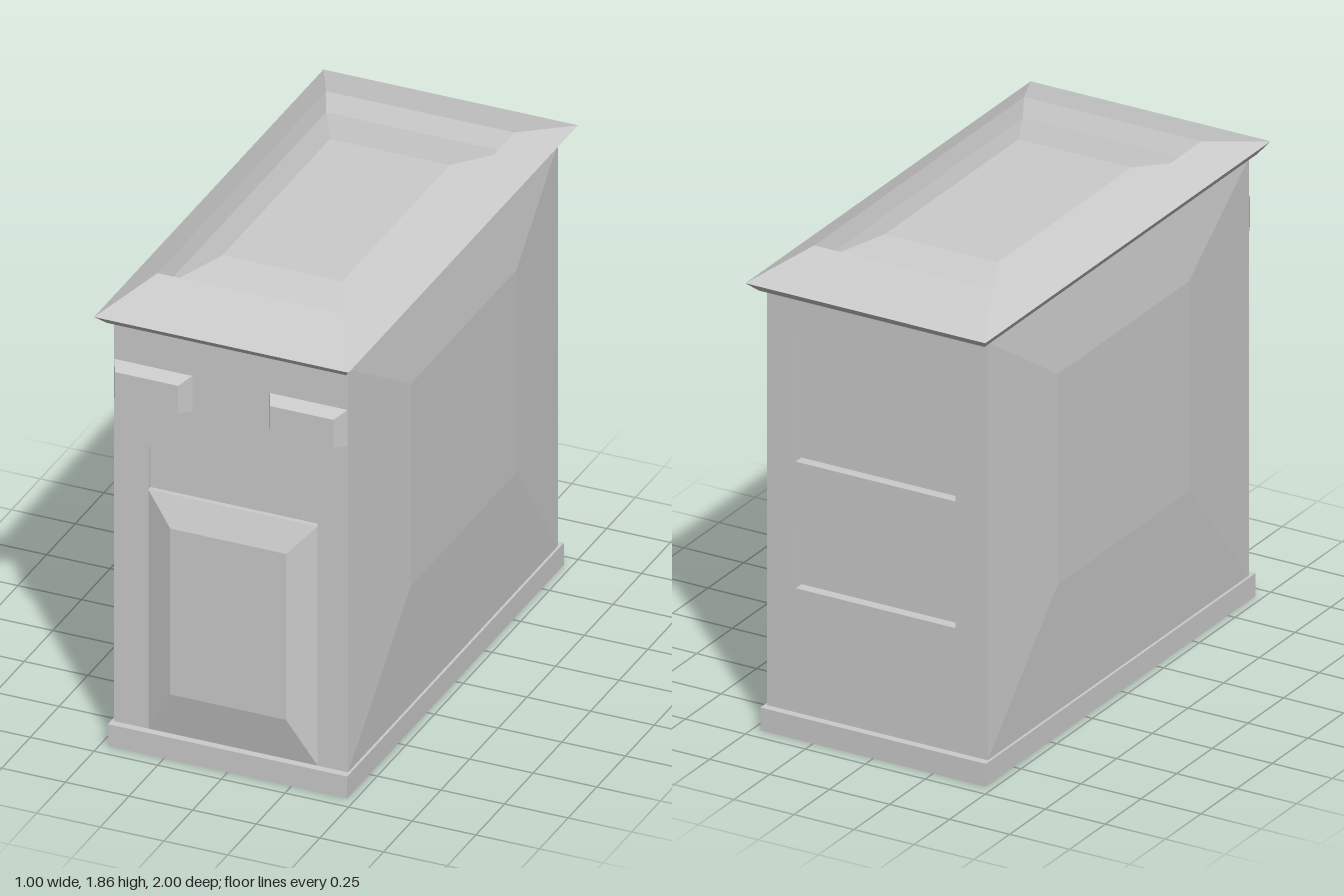
import * as THREE from 'three';

const material = new THREE.MeshStandardMaterial({ color: 0xcccccc, flatShading: true });

function add(parent, name, geometry) {
  const mesh = new THREE.Mesh(geometry, material);
  mesh.name = name;
  parent.add(mesh);
  return mesh;
}

function box(w, h, d, x, y, z) {
  return new THREE.BoxGeometry(w, h, d).translate(x, y, z);
}

// Solid lofted along +z through rectangles [x0, x1, y0, y1, z], capped at both ends
function loft(rings) {
  const pos = [];
  const corners = rings.map(([x0, x1, y0, y1, z]) => [[x0, y0, z], [x1, y0, z], [x1, y1, z], [x0, y1, z]]);
  const quad = (a, b, c, d) => pos.push(...a, ...b, ...c, ...a, ...c, ...d);
  for (let r = 0; r < corners.length - 1; r++) {
    const lo = corners[r], hi = corners[r + 1];
    for (let i = 0; i < 4; i++) {
      const j = (i + 1) % 4;
      quad(lo[i], lo[j], hi[j], hi[i]);
    }
  }
  const [a, b, c, d] = corners[0];
  quad(d, c, b, a);
  quad(...corners[corners.length - 1]);
  const g = new THREE.BufferGeometry();
  g.setAttribute('position', new THREE.Float32BufferAttribute(pos, 3));
  g.computeVertexNormals();
  return g;
}

function rectangle(target, x0, x1, y0, y1) {
  target.moveTo(x0, y0);
  target.lineTo(x1, y0);
  target.lineTo(x1, y1);
  target.lineTo(x0, y1);
  target.closePath();
  return target;
}

// Wall slab with rectangular openings, spanning z0 to z1
function wall(openings, z0, z1) {
  const shape = rectangle(new THREE.Shape(), -0.46, 0.46, 0.09, 1.74);
  for (const [y0, y1] of openings) shape.holes.push(rectangle(new THREE.Path(), -0.325, 0.34, y0, y1));
  return new THREE.ExtrudeGeometry(shape, { depth: z1 - z0, bevelEnabled: false }).translate(0, 0, z0);
}

export function createModel() {
  const model = new THREE.Group();
  model.name = 'cabinet';

  // Plinth and body, with recessed panels in the front and back walls
  add(model, 'base', box(0.94, 0.09, 1.89, 0, 0.045, 0));
  add(model, 'body', box(0.92, 1.65, 1.77, 0, 0.915, 0.01));
  add(model, 'frontWall', wall([[1.07, 1.25]], 0.895, 0.915));
  add(model, 'backWall', wall([[0.58, 0.835], [1.08, 1.57]], -0.915, -0.875));

  // Shallow raised side panels
  for (const side of [1, -1]) {
    const g = loft([
      [-0.915, 0.915, 0.09, 1.74, 0.455],
      [-0.915, 0.915, 0.09, 1.74, 0.46],
      [side > 0 ? -0.44 : -0.48, side > 0 ? 0.48 : 0.44, 0.62, 1.45, 0.493],
    ]);
    add(model, side > 0 ? 'leftSidePanel' : 'rightSidePanel', g.rotateY(side * Math.PI / 2));
  }

  // Raised front door panel
  add(model, 'frontPanel', loft([
    [-0.325, 0.34, 0.09, 1.07, 0.9],
    [-0.325, 0.34, 0.09, 1.07, 0.915],
    [-0.22, 0.235, 0.275, 0.955, 0.957],
  ]));

  // Pair of tapered blocks near the top of the front
  for (const side of [1, -1]) {
    const cx = side * 0.305;
    add(model, side > 0 ? 'leftFrontBlock' : 'rightFrontBlock', loft([
      [cx - 0.153, cx + 0.153, 1.428, 1.575, 0.91],
      [cx - 0.153, cx + 0.153, 1.428, 1.575, 0.915],
      [cx - 0.124, cx + 0.124, 1.442, 1.558, 0.975],
    ]));
  }

  // Flared roof with a sunken top and a raised centre panel
  const roofSteps = [
    [0.47, 0.955, 1.74],
    [0.5, 1, 1.78],
    [0.37, 0.735, 1.855],
    [0.355, 0.7, 1.79],
    [0.235, 0.47, 1.825],
  ];
  const roof = loft(roofSteps.map(([x, z, y]) => [-x, x, -z, z, y]));
  add(model, 'roof', roof.rotateX(-Math.PI / 2));

  return model;
}
